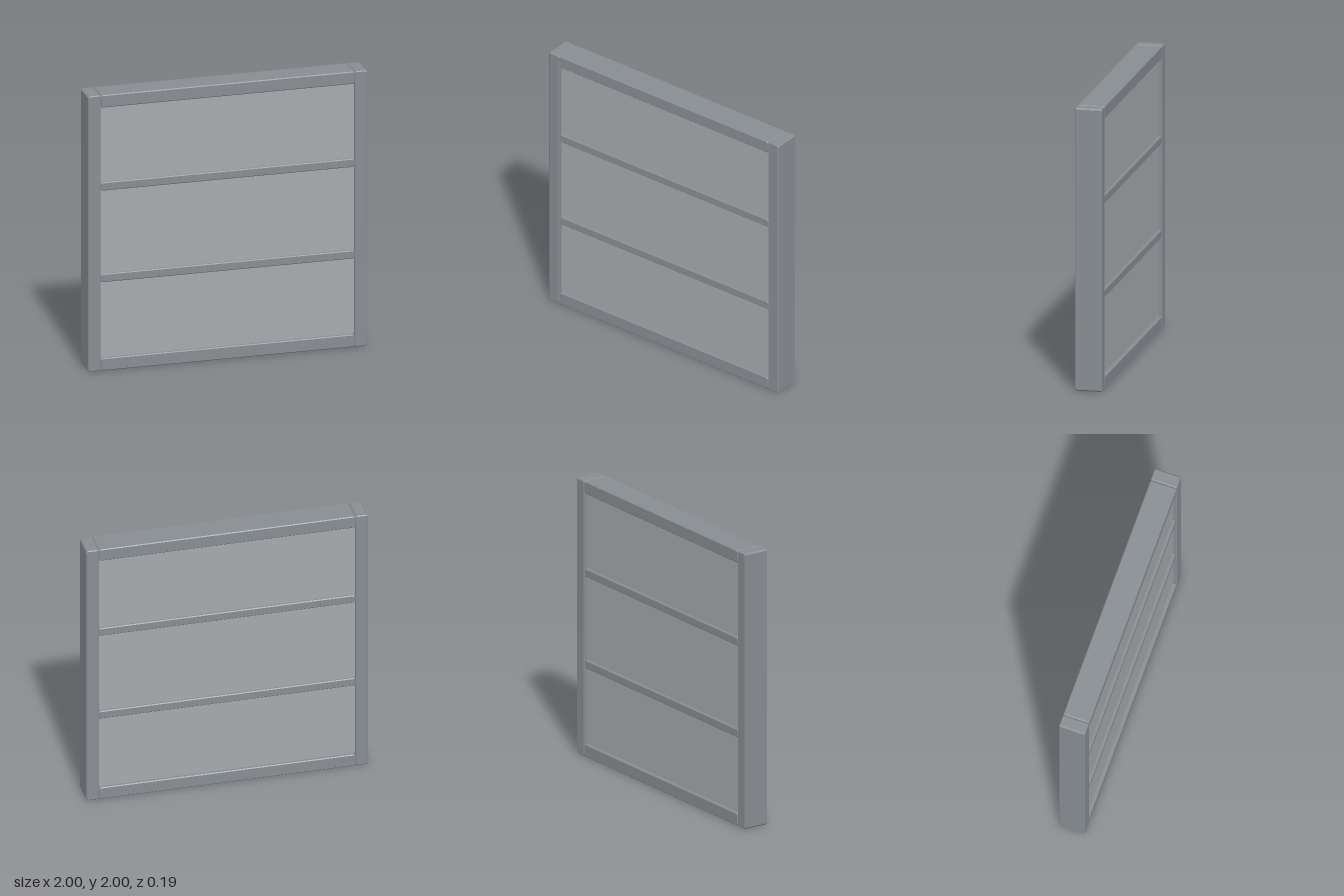
import * as THREE from 'three';

const DEPTH = 0.19; // frame thickness
const BAR = 0.09; // width of stiles and rails
const INNER = 2 - 2 * BAR; // clear span between the stiles
const CUT = 0.006; // chamfer on every bar edge

// A box with flat chamfers on all its edges
function chamferedBox(w, h, d) {
  const x = w / 2 - CUT, y = h / 2 - CUT, c = CUT;
  const outline = [
    [-x + c, -y], [x - c, -y], [x, -y + c], [x, y - c],
    [x - c, y], [-x + c, y], [-x, y - c], [-x, -y + c],
  ].map(([px, py]) => new THREE.Vector2(px, py));
  const geometry = new THREE.ExtrudeGeometry(new THREE.Shape(outline), {
    depth: d - 2 * CUT, bevelThickness: CUT, bevelSize: CUT, bevelSegments: 1,
  });
  return geometry.translate(0, 0, CUT - d / 2);
}

export function createModel() {
  const model = new THREE.Group();
  model.name = 'panelledFrame';
  const frameMaterial = new THREE.MeshStandardMaterial({ color: 0x888d92 });
  const panelMaterial = new THREE.MeshStandardMaterial({ color: 0xa6aaad });

  function addPart(name, geometry, material, x, y) {
    const mesh = new THREE.Mesh(geometry, material);
    mesh.name = name;
    mesh.position.set(x, y, 0);
    model.add(mesh);
  }
  const addBar = (name, w, h, d, x, y) =>
    addPart(name, chamferedBox(w, h, d), frameMaterial, x, y);

  // Full-height stiles at both sides
  addBar('leftStile', BAR, 2, DEPTH, 1 - BAR / 2, 1);
  addBar('rightStile', BAR, 2, DEPTH, -1 + BAR / 2, 1);

  // Top and bottom rails fitted between the stiles
  addBar('bottomRail', INNER, BAR, DEPTH, 0, BAR / 2);
  addBar('topRail', INNER, BAR, DEPTH, 0, 2 - BAR / 2);

  // Slimmer cross bars dividing the panel into three
  [0.67, 1.335].forEach((y, i) => addBar(`crossBar${i + 1}`, INNER, 0.06, DEPTH - 0.01, 0, y));

  // Recessed panel, visible from both faces
  addPart('panel', new THREE.BoxGeometry(INNER, INNER, 0.14), panelMaterial, 0, 1);

  return model;
}
